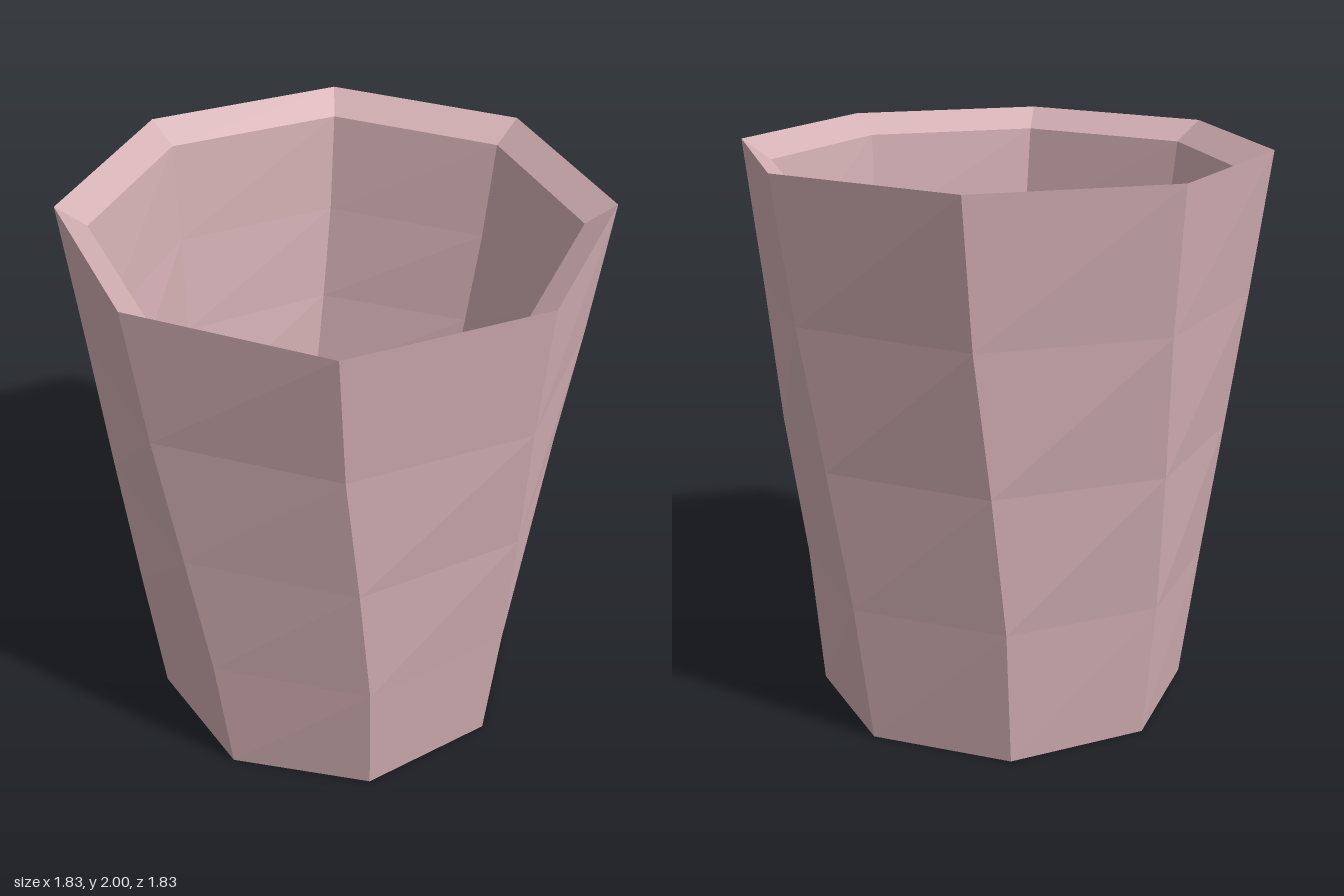
import * as THREE from 'three';

const SIDES = 8;

// Twist of the cup at height y: +5 degrees at the foot, -5 degrees at the lip
const twist = (y) => THREE.MathUtils.degToRad(5) * Math.cos((Math.PI * y) / 2);

// Small hand-shaped dents, keyed by "height:corner" (corner 0 = front, 2 = left)
const dents = { '0.5:2': -0.017, '0.5:0': 0.012, '1.5:0': -0.018 };

// Skin of triangles through octagonal rings given as [radius, height, dented]
function loft(rings) {
  const pos = [];
  const corner = ([r, y, dented], i) => {
    const k = i % SIDES;
    const rad = r + (dented ? dents[`${y}:${k}`] || 0 : 0);
    const a = (k * 2 * Math.PI) / SIDES + twist(y);
    return [rad * Math.sin(a), y, rad * Math.cos(a)];
  };
  for (let j = 0; j < rings.length - 1; j++) {
    const lo = rings[j], hi = rings[j + 1];
    for (let i = 0; i < SIDES; i++) {
      const a = corner(lo, i), b = corner(lo, i + 1);
      const A = corner(hi, i), B = corner(hi, i + 1);
      if (lo[0] > 0) pos.push(...a, ...b, ...B);
      if (hi[0] > 0) pos.push(...a, ...B, ...A);
    }
  }
  const g = new THREE.BufferGeometry();
  g.setAttribute('position', new THREE.Float32BufferAttribute(pos, 3));
  g.computeVertexNormals();
  return g;
}

export function createModel() {
  const group = new THREE.Group();
  group.name = 'cup';
  const pink = new THREE.MeshStandardMaterial({ color: 0xd4b0b4, flatShading: true });
  pink.name = 'dusty pink';

  const add = (name, rings) => {
    const mesh = new THREE.Mesh(loft(rings), pink);
    mesh.name = name;
    group.add(mesh);
  };

  // Outer wall: five evenly spaced rings, widening upwards
  const outer = [], inner = [];
  for (let i = 0; i <= 4; i++) {
    outer.push([0.667 + 0.0628 * i, 0.5 * i, true]);
    inner.push([0.815 - 0.0375 * i, 1.93 - 0.3575 * i]);
  }
  add('outerWall', outer);
  add('base', [[0, 0], [0.667, 0]]);

  // Lip slopes down into the cup, then the inner wall runs to a raised floor
  add('lip', [outer[4], inner[0]]);
  add('innerWall', inner);
  add('innerFloor', [inner[4], [0, inner[4][1]]]);

  return group;
}
